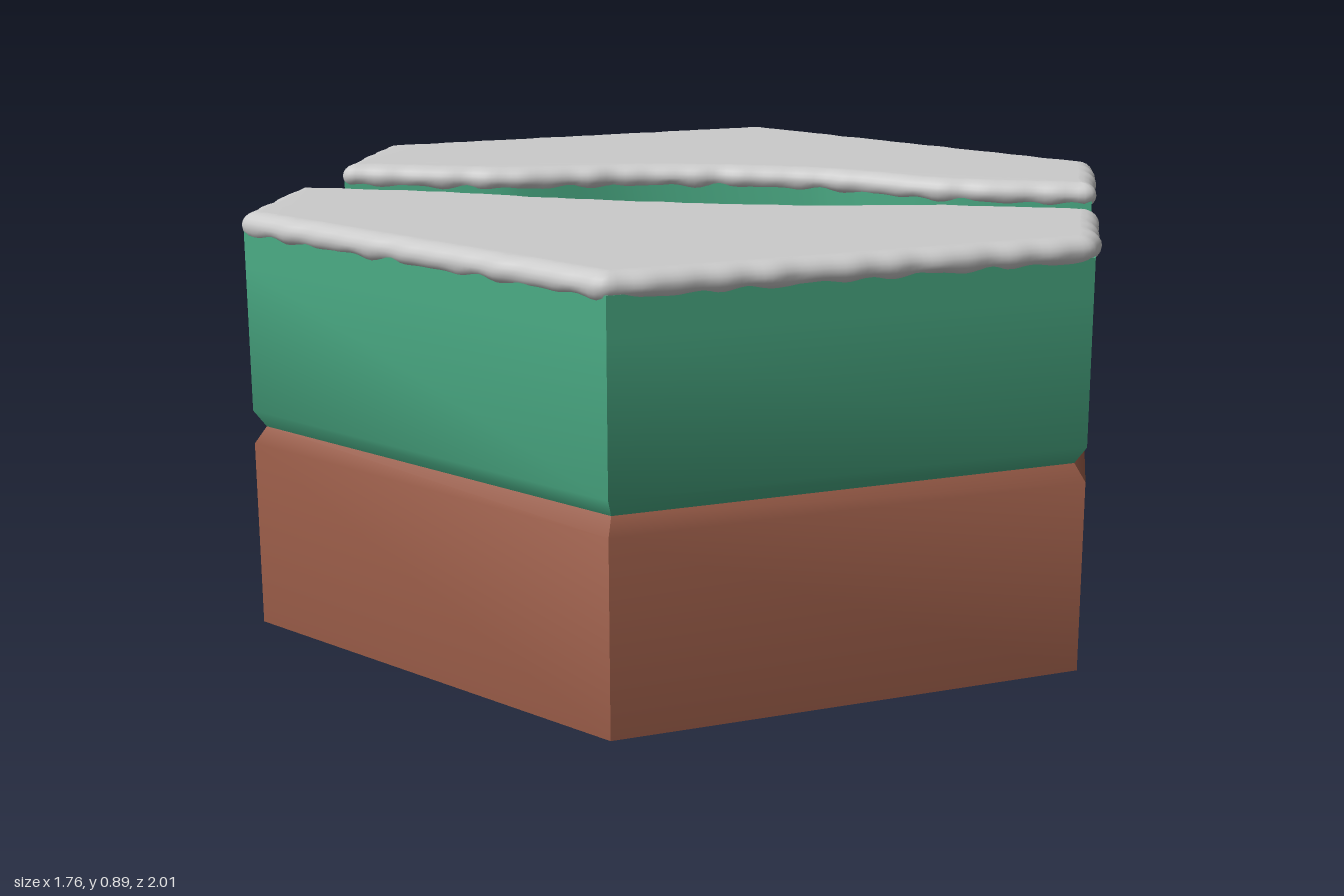
import * as THREE from 'three';
import { toCreasedNormals } from 'three/addons/utils/BufferGeometryUtils.js';

const W = Math.sqrt(3) / 2;   // half width of the hexagon
const FLOOR = 0.78;           // height of the sunken path
const BANK_TOP = 0.855;

// z of the two path edges, from left end to right end
const BACK_EDGE = [[-W, -0.155], [-0.68, -0.155], [-0.5, -0.158], [-0.4, -0.182], [-0.2, -0.252], [0, -0.28],
  [0.2, -0.275], [0.32, -0.248], [0.5, -0.175], [0.62, -0.157], [0.75, -0.155], [W, -0.155]];
const FRONT_EDGE = [[-W, 0.15], [-0.68, 0.152], [-0.5, 0.16], [-0.3, 0.192], [0, 0.212],
  [0.28, 0.202], [0.5, 0.158], [0.62, 0.15], [0.75, 0.15], [W, 0.15]];

// Outline of one half of the ground, counter-clockwise in (x, -z)
function halfOutline(edge, side) {
  const curve = new THREE.SplineCurve(edge.map(([x, z]) => new THREE.Vector2(x, -z)));
  const pts = curve.getPoints(48);
  pts.push(new THREE.Vector2(W, -side * 0.5), new THREE.Vector2(0, -side), new THREE.Vector2(-W, -side * 0.5));
  return side > 0 ? pts.reverse() : pts;
}

// Six-sided solid from a profile, smooth bevels and sharp corners
function hexSolid(profile) {
  const lathe = new THREE.LatheGeometry(profile.map(([r, y]) => new THREE.Vector2(r, y)), 6);
  return toCreasedNormals(lathe, 0.8);
}

function bankGeometry(outline) {
  const geo = new THREE.ExtrudeGeometry(new THREE.Shape(outline), { depth: BANK_TOP - FLOOR, bevelEnabled: false });
  geo.rotateX(-Math.PI / 2).translate(0, FLOOR, 0);
  return toCreasedNormals(geo, 0.6);
}

// Soft slab: rounded rim swept round the outline, with a wavy edge
function snowGeometry(outline, seed) {
  const N = 300, RINGS = 10;
  const shape = new THREE.Shape(outline);
  shape.closePath();
  let loop = shape.getSpacedPoints(N).slice(0, N);
  for (let pass = 0; pass < 3; pass++) {
    loop = loop.map((p, i) => p.clone().multiplyScalar(2)
      .add(loop[(i + 1) % N]).add(loop[(i + N - 1) % N]).multiplyScalar(0.25));
  }
  const wave = (i, k) => {
    const a = i / N * Math.PI * 2;
    return (Math.sin(a * 23 + seed + k) + Math.sin(a * 37 + seed * 2.3 + k * 3) + Math.sin(a * 53 + k * 5 + seed)) / 3;
  };
  const normals = loop.map((p, i) => {
    const t = loop[(i + 1) % N].clone().sub(loop[(i + N - 1) % N]).normalize();
    return new THREE.Vector2(t.y, -t.x);
  });

  const pos = [], index = [], top = [];
  for (let r = 0; r <= RINGS; r++) {
    const a = -Math.PI / 2 + Math.PI * r / RINGS;
    for (let i = 0; i < N; i++) {
      const out = 0.008 + 0.005 * wave(i, 0) - 0.036 * (1 - Math.cos(a));
      const p = loop[i].clone().addScaledVector(normals[i], out);
      const low = Math.max(0, -Math.sin(a)) * 0.006 * wave(i, 1);
      pos.push(p.x, 0.866 + 0.029 * Math.sin(a) + low, -p.y);
      if (r === RINGS) top.push(p);
    }
  }
  for (let r = 0; r < RINGS; r++) {
    for (let i = 0; i < N; i++) {
      const a = r * N + i, b = r * N + (i + 1) % N;
      index.push(a, b, b + N, a, b + N, a + N);
    }
  }
  for (const f of THREE.ShapeUtils.triangulateShape(top, [])) index.push(...f.map((i) => i + RINGS * N));

  const geo = new THREE.BufferGeometry();
  geo.setAttribute('position', new THREE.Float32BufferAttribute(pos, 3));
  geo.setIndex(index);
  geo.computeVertexNormals();
  return geo;
}

export function createModel() {
  const model = new THREE.Group();
  const add = (name, geometry, material) => {
    const mesh = new THREE.Mesh(geometry, material);
    mesh.name = name;
    model.add(mesh);
  };
  const earth = new THREE.MeshStandardMaterial({ color: 0x985b47 });
  const grass = new THREE.MeshStandardMaterial({ color: 0x4bad86 });
  const sand = new THREE.MeshStandardMaterial({ color: 0xc39e73 });
  const snow = new THREE.MeshStandardMaterial({ color: 0xcccccc });

  // Stacked layers with a bevelled groove between them
  add('earthBase', hexSolid([[0, 0], [1, 0], [1, 0.4], [0.973, 0.435], [0, 0.435]]), earth);
  add('grassLayer', hexSolid([[0, 0.435], [0.973, 0.435], [1, 0.472], [1, FLOOR]]), grass);

  // Sunken path floor
  const floor = new THREE.CircleGeometry(1, 6, Math.PI / 2);
  floor.rotateX(-Math.PI / 2).translate(0, FLOOR, 0);
  add('pathFloor', floor, sand);

  // Raised banks and their snow on both sides of the path
  for (const [name, edge, side] of [['back', BACK_EDGE, -1], ['front', FRONT_EDGE, 1]]) {
    const outline = halfOutline(edge, side);
    add(name + 'Bank', bankGeometry(outline), grass);
    add(name + 'Snow', snowGeometry(outline, 2 + side), snow);
  }
  return model;
}
